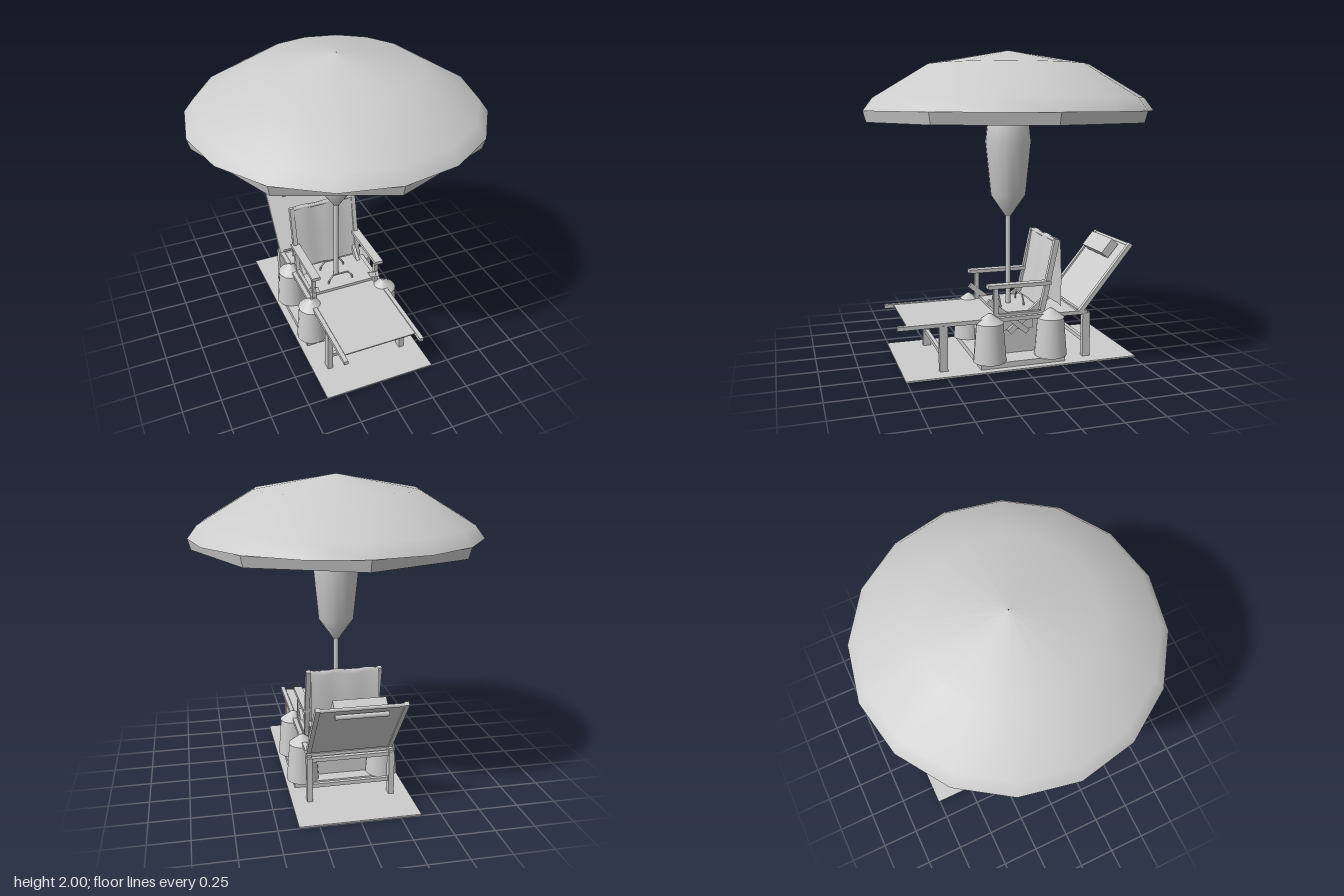
import * as THREE from 'three';

export function createModel() {
  const model = new THREE.Group();
  const grey = new THREE.MeshStandardMaterial({ color: 0xcccccc, side: THREE.DoubleSide });
  grey.name = 'light grey';

  const add = (name, geo, x = 0, y = 0, z = 0) => {
    const m = new THREE.Mesh(geo, grey);
    m.name = name;
    m.position.set(x, y, z);
    model.add(m);
    return m;
  };
  const box = (name, w, h, d, x, y, z) => add(name, new THREE.BoxGeometry(w, h, d), x, y, z);
  // square or round bar between two points
  const bar = (name, a, b, w, h = 0) => {
    const p = new THREE.Vector3(...a), q = new THREE.Vector3(...b), len = p.distanceTo(q);
    const geo = h ? new THREE.BoxGeometry(w, h, len)
      : new THREE.CylinderGeometry(w, w, len, 8).rotateX(Math.PI / 2);
    const m = add(name, geo);
    m.position.copy(p).add(q).multiplyScalar(0.5);
    m.lookAt(q);
    return m;
  };
  const lathe = (name, pts, seg, x = 0, y = 0, z = 0) =>
    add(name, new THREE.LatheGeometry(pts.map(p => new THREE.Vector2(...p)), seg), x, y, z);
  const sides = [-1, 1];

  // Parasol: canopy, eight-sided valance, ribs, folded body and pole
  lathe('canopy', [[0.93, 1.62], [0.87, 1.7], [0.52, 1.91], [0.002, 2]], 16);
  const valance = new THREE.CylinderGeometry(0.93, 0.91, 0.07, 8, 1, true).toNonIndexed();
  valance.computeVertexNormals();
  add('valance', valance, 0, 1.585, 0);
  for (let i = 0; i < 8; i++) {
    const a = i * Math.PI / 4, c = Math.cos(a), s = Math.sin(a);
    bar('rib', [0.03 * c, 1.96, 0.03 * s], [0.52 * c, 1.89, 0.52 * s], 0.006);
    bar('rib', [0.52 * c, 1.89, 0.52 * s], [0.84 * c, 1.7, 0.84 * s], 0.006);
  }
  lathe('foldedBody', [[0.018, 0.93], [0.115, 1.07], [0.15, 1.42], [0.135, 1.55], [0.05, 1.83], [0.008, 1.97]], 16);
  add('pole', new THREE.CylinderGeometry(0.018, 0.018, 0.92, 12), 0, 0.49, 0);

  // Ground plate with raised frame and studs underneath
  box('groundPlate', 0.75, 0.01, 1.52, 0, 0.011, 0);
  for (const s of sides) {
    box('underFrame', 0.5, 0.006, 0.008, 0, 0.003, s * 0.27);
    box('underFrame', 0.008, 0.006, 0.54, s * 0.25, 0.003, 0);
    for (const z of [-0.52, 0.52]) add('stud', new THREE.CylinderGeometry(0.03, 0.03, 0.006, 12), s * 0.2, 0.003, z);
  }

  // Weighted base with four capped drums
  box('baseSlab', 0.66, 0.035, 0.56, 0, 0.035, 0);
  box('baseBox', 0.34, 0.24, 0.38, 0, 0.17, 0);
  box('boxLid', 0.36, 0.07, 0.22, 0, 0.245, 0);
  for (const s of sides) {
    for (let i = -2; i <= 2; i++) box('boxTrim', 0.035, 0.03, 0.008, i * 0.065, 0.225, s * 0.193);
    box('boxLedge', 0.34, 0.02, 0.012, 0, 0.27, s * 0.194);
    for (const z of [-0.205, 0.205]) {
      add('drum', new THREE.CylinderGeometry(0.086, 0.106, 0.25, 16), s * 0.265, 0.175, z);
      add('drumCap', new THREE.CylinderGeometry(0.008, 0.09, 0.06, 16), s * 0.265, 0.33, z);
    }
  }

  // Lounger: flat bed, legs, reclining back
  box('bedSheet', 0.49, 0.008, 1.12, 0, 0.318, 0.17);
  box('bedCrossbar', 0.5, 0.025, 0.03, 0, 0.3, 0.6);
  box('bedCrossbar', 0.5, 0.025, 0.03, 0, 0.3, -0.4);
  for (const s of sides) {
    const x = s * 0.262;
    bar('bedRail', [x, 0.312, 0.79], [x, 0.312, -0.46], 0.028, 0.025);
    bar('backRail', [x, 0.315, -0.41], [x, 0.745, -0.765], 0.028, 0.028);
    for (const z of [0.505, -0.45]) box('loungerLeg', 0.035, 0.295, 0.052, x, 0.16, z);
  }
  for (const z of [0.505, -0.45]) {
    box('legStretcher', 0.5, 0.025, 0.025, 0, 0.115, z);
    box('legTopBar', 0.5, 0.025, 0.03, 0, 0.29, z);
  }
  bar('backSheet', [0, 0.325, -0.42], [0, 0.735, -0.758], 0.5, 0.008);
  bar('headBar', [-0.26, 0.735, -0.76], [0.26, 0.735, -0.76], 0.012);
  bar('pillow', [0, 0.655, -0.63], [0, 0.745, -0.705], 0.32, 0.06);
  bar('rearRoll', [-0.16, 0.685, -0.75], [0.16, 0.685, -0.75], 0.016);

  // Folding armchair
  box('seat', 0.44, 0.025, 0.3, 0, 0.33, -0.01);
  for (const s of sides) {
    const x = s * 0.23;
    box('armrest', 0.058, 0.024, 0.42, x, 0.52, 0);
    box('armSupport', 0.026, 0.19, 0.03, x, 0.42, 0.155);
    bar('chairBackPost', [x, 0.34, -0.155], [x, 0.8, -0.255], 0.03, 0.034);
    bar('seatRail', [x, 0.325, 0.15], [x, 0.325, -0.17], 0.024, 0.028);
    bar('crossLeg', [x * 0.96, 0.425, 0.205], [x * 0.96, 0.205, -0.06], 0.024, 0.036);
    bar('crossLeg', [x * 0.9, 0.425, -0.205], [x * 0.9, 0.205, 0.06], 0.024, 0.036);
  }
  bar('chairTopBar', [-0.23, 0.79, -0.252], [0.23, 0.79, -0.252], 0.012);

  // Towel draped over the chair back, gently rippled
  const path = [[0.35, -0.155], [0.58, -0.205], [0.78, -0.24], [0.805, -0.262], [0.785, -0.288], [0.58, -0.296], [0.35, -0.297]];
  const towel = new THREE.PlaneGeometry(0.44, 1, 16, path.length - 1);
  const pos = towel.attributes.position;
  for (let i = 0; i < pos.count; i++) {
    const [y, z] = path[Math.floor(i / 17)];
    const ripple = Math.sin(pos.getX(i) * 32) * 0.005;
    pos.setXYZ(i, pos.getX(i), y + (y > 0.7 ? ripple : 0), z + ripple * 0.6);
  }
  // reverse winding so the cloth faces outward
  const idx = towel.index.array;
  for (let i = 0; i < idx.length; i += 3) [idx[i], idx[i + 1]] = [idx[i + 1], idx[i]];
  towel.computeVertexNormals();
  add('towel', towel);

  // Carry handles beside the pole
  for (const z of [-0.08, 0.08]) {
    const pts = [[-0.09, 0.335], [-0.085, 0.365], [-0.055, 0.405], [0.055, 0.405], [0.085, 0.365], [0.09, 0.335]];
    for (let i = 0; i < pts.length - 1; i++) bar('carryHandle', [...pts[i], z], [...pts[i + 1], z], 0.006);
  }
  return model;
}
